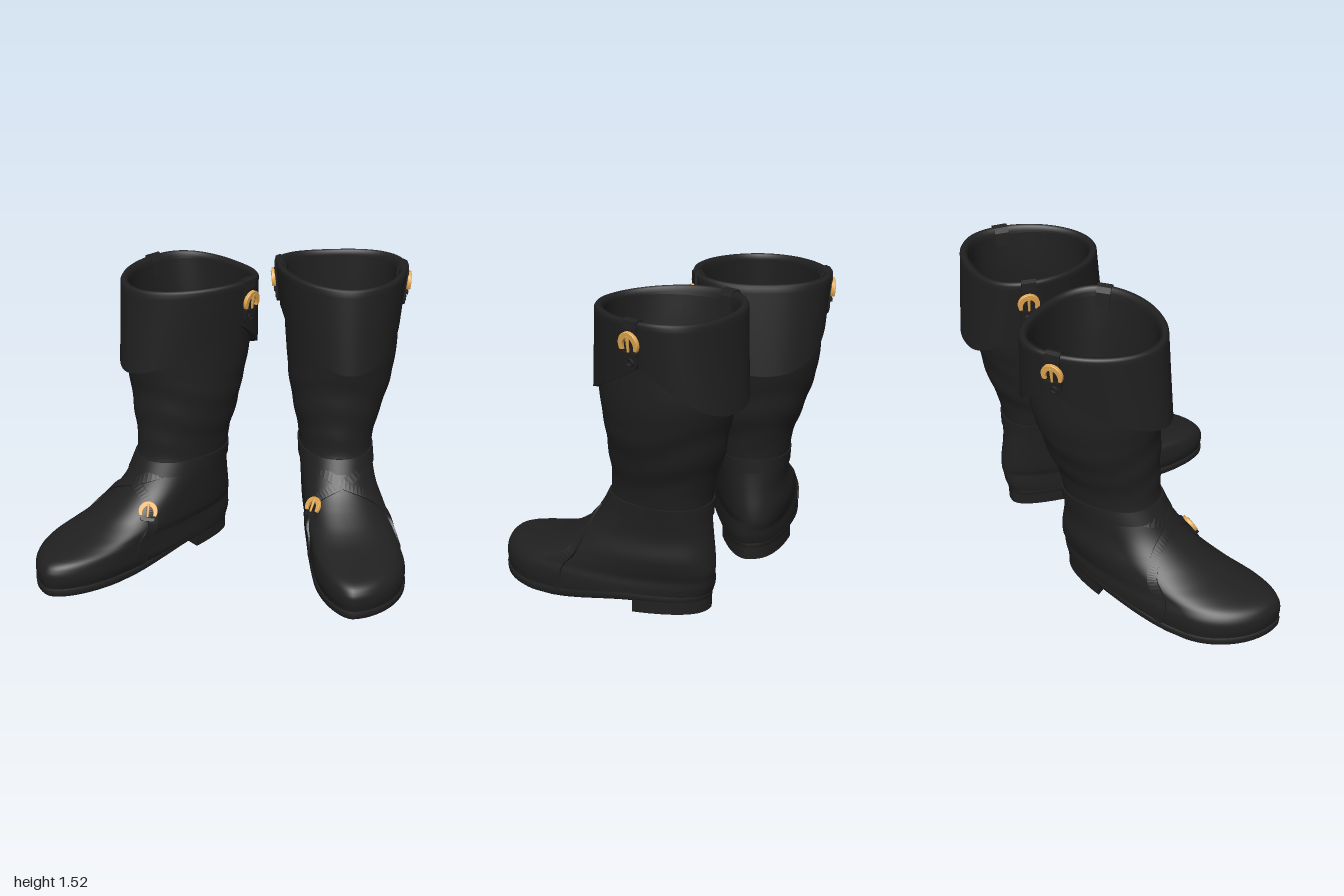
import * as THREE from 'three';

const V = (x, y, z) => new THREE.Vector3(x, y, z);
const leather = new THREE.MeshStandardMaterial({ color: 0x202020, side: THREE.DoubleSide });
leather.name = 'blackLeather';
const brass = new THREE.MeshStandardMaterial({ color: 0xe2a852 });
brass.name = 'brass';

// Horizontal sections: y, xMin, xMax, zBack, zFront, zWidest, centre x, back and front roundness
const SECTIONS = [
  [0.05, 0.44, 0.895, -0.505, 0.67, 0.32, 0.585, 2.5, 1.85],
  [0.10, 0.425, 0.90, -0.515, 0.68, 0.32, 0.585, 2.5, 1.85],
  [0.15, 0.425, 0.895, -0.53, 0.672, 0.31, 0.585, 2.5, 1.85],
  [0.19, 0.425, 0.88, -0.535, 0.625, 0.26, 0.59, 2.4, 1.9],
  [0.22, 0.425, 0.87, -0.54, 0.49, 0.18, 0.60, 2.3, 2],
  [0.25, 0.42, 0.86, -0.54, 0.37, 0.10, 0.60, 2.3, 2.1],
  [0.30, 0.42, 0.845, -0.535, 0.26, 0.00, 0.60, 2.3, 2.1],
  [0.40, 0.42, 0.81, -0.52, 0.12, -0.10, 0.60, 2.3, 2.1],
  [0.50, 0.42, 0.80, -0.51, 0.04, -0.20, 0.61, 2.3, 2.1],
  [0.57, 0.42, 0.80, -0.51, 0.005, -0.25, 0.61, 2.3, 2.1],
  [0.68, 0.405, 0.82, -0.53, 0.00, -0.27, 0.61, 2.2, 2],
  [0.80, 0.38, 0.86, -0.57, 0.00, -0.29, 0.62, 2.2, 2],
  [0.95, 0.36, 0.905, -0.60, 0.005, -0.32, 0.63, 2.2, 2],
  [1.10, 0.35, 0.93, -0.63, 0.03, -0.35, 0.635, 2.3, 1.95],
  [1.30, 0.335, 0.935, -0.63, 0.03, -0.37, 0.635, 2.3, 1.95],
  [1.50, 0.31, 0.95, -0.63, 0.02, -0.38, 0.635, 2.3, 1.95],
];

// Egg-shaped section point at angle a, grown outwards by off
function egg([y, x0, x1, zb, zf, zw, cx, nb, nf], a, off = 0) {
  const c = Math.cos(a), s = Math.sin(a), n = s > 0 ? nf : nb;
  const pc = Math.abs(c) ** (2 / n), ps = Math.abs(s) ** (2 / n);
  const heelTaper = s < 0 ? 1 - 0.28 * THREE.MathUtils.clamp((zw + 0.2) / 0.5, 0, 1) * ps * ps : 1;
  const x = c > 0 ? cx + (x1 - cx + off) * pc * heelTaper : cx - (cx - x0 + off) * pc;
  const z = s > 0 ? zw + (zf - zw + off) * ps : zw - (zw - zb + off) * ps;
  return V(x, y, z);
}

// Upper surface at any height, blended smoothly between the sections
function upper(y, a, off = 0) {
  let i = 0;
  while (i < SECTIONS.length - 2 && SECTIONS[i + 1][0] < y) i++;
  const row = (k) => SECTIONS[THREE.MathUtils.clamp(k, 0, SECTIONS.length - 1)];
  const [r0, r1, r2, r3] = [row(i - 1), row(i), row(i + 1), row(i + 2)];
  const h = r2[0] - r1[0], t = (y - r1[0]) / h;
  const mixed = r1.map((p1, k) => {
    const p2 = r2[k];
    const m1 = ((p2 - r0[k]) * h) / (r2[0] - r0[0]), m2 = ((r3[k] - p1) * h) / (r3[0] - r1[0]);
    return p1 + t * m1 + t * t * (3 * (p2 - p1) - 2 * m1 - m2) + t * t * t * (2 * (p1 - p2) + m1 + m2);
  });
  mixed[0] = y;
  return egg(mixed, a, off);
}

// Flaring turned-down cuff surface
function cuffPoint(y, a, off = 0) {
  const t = (1.5 - y) / 0.45;
  return egg([y, 0.295 + 0.05 * t, 0.972 - 0.045 * t, -0.65 - 0.04 * t, 0.04 + 0.04 * t, -0.38, 0.635, 2.4, 1.9], a, off);
}

// Surface closed around u, open along v
function grid(nu, nv, f) {
  const pos = [], idx = [];
  for (let j = 0; j <= nv; j++)
    for (let i = 0; i < nu; i++) pos.push(...f(j, (i / nu) * Math.PI * 2, i).toArray());
  for (let j = 0; j < nv; j++)
    for (let i = 0; i < nu; i++) {
      const a = j * nu + i, b = j * nu + ((i + 1) % nu);
      idx.push(a, a + nu, b, b, a + nu, b + nu);
    }
  const g = new THREE.BufferGeometry();
  g.setAttribute('position', new THREE.Float32BufferAttribute(pos, 3));
  g.setIndex(idx);
  g.computeVertexNormals();
  return g;
}

// Flat strap of half width w and half thickness t along points
function ribbon(pts, sideAt, w, t) {
  const frames = pts.map((p, i) => {
    const T = pts[Math.min(i + 1, pts.length - 1)].clone().sub(pts[Math.max(i - 1, 0)]).normalize();
    const side = sideAt(i, T).normalize();
    return { p, side, n: T.cross(side).normalize() };
  });
  const corners = [[-w, t], [w, t], [w, -t], [-w, -t]];
  const g = grid(4, pts.length - 1, (j, a, i) =>
    frames[j].p.clone().addScaledVector(frames[j].side, corners[i][0]).addScaledVector(frames[j].n, corners[i][1])).toNonIndexed();
  g.computeVertexNormals();
  return g;
}

function normalOf(f, y, a) {
  const du = f(y, a + 0.02).sub(f(y, a - 0.02)), dv = f(y + 0.01, a).sub(f(y - 0.01, a));
  return dv.cross(du).normalize();
}

// Matrix standing on a surface point, facing along n
function facing(p, n, up) {
  const x = up.clone().cross(n).normalize();
  return new THREE.Matrix4().makeBasis(x, n.clone().cross(x), n).setPosition(p);
}

const soleBottom = (z) => 0.01 + 0.065 * THREE.MathUtils.smoothstep(-z, -0.3, 0.25);

function makeBoot(name, mirrored) {
  const boot = new THREE.Group();
  boot.name = name;
  const add = (part, geo, mat, matrix) => {
    let g = geo;
    if (matrix) g.applyMatrix4(matrix);
    if (mirrored) {
      // reflect across x and reverse the corner order
      g = (g.index ? g.toNonIndexed() : g).scale(-1, 1, 1);
      for (const attr of Object.values(g.attributes)) {
        const k = attr.itemSize, d = attr.array;
        for (let i = 0; i < d.length; i += 3 * k)
          for (let c = 0; c < k; c++) [d[i + k + c], d[i + 2 * k + c]] = [d[i + 2 * k + c], d[i + k + c]];
      }
    }
    const m = new THREE.Mesh(g, mat);
    m.name = part;
    boot.add(m);
  };

  // foot and shaft, with faint creases in the leg
  add('footAndShaft', grid(80, 90, (j, a) => {
    const y = j < 40 ? 0.05 + j * 0.0075 : 0.35 + (j - 40) * 0.02;
    const window = THREE.MathUtils.smoothstep(y, 0.6, 0.72) * (1 - THREE.MathUtils.smoothstep(y, 0.95, 1.05));
    const p = upper(y, a, 0.0025 * window * Math.sin(y * 34 + 2.2 * Math.sin(a * 2 + 1)));
    p.y = Math.max(y, soleBottom(p.z) + 0.035);
    return p;
  }), leather);

  // lining and insole
  add('lining', grid(64, 41, (j, a) => j > 40 ? V(0.61, 0.14, -0.2) : upper(1.48 - j * 0.0335, a, -0.03)), leather);

  // cuff: pointed front and back hem, rolled rim
  const hem = (a) => 1.3 - 0.235 * Math.abs(Math.sin(a));
  const rim = (a) => (Math.cos(a) < 0 ? 0.02 : 0.008) * Math.cos(a) ** 2;
  const rolled = [[1.49, 0], [1.5, -0.006], [1.505, -0.018], [1.5, -0.032], [1.48, -0.042], [1.4, -0.045]];
  add('cuff', grid(96, 21, (j, a) => {
    if (j === 0) return cuffPoint(hem(a), a, -0.04);
    if (j < 3) return cuffPoint(hem(a), a);
    if (j < 16) return cuffPoint(THREE.MathUtils.lerp(hem(a), 1.48 + rim(a), (j - 2) / 13.5), a);
    const [y, off] = rolled[j - 16];
    return cuffPoint(y + rim(a), a, off);
  }), leather);

  // sole with raised arch
  const soleRows = [[-0.6, 0], [-0.005, 0], [-0.005, 0], [0.006, 0.01], [0.008, 0.036], [0, 0.044], [-0.02, 0.046]];
  add('sole', grid(80, 6, (j, a) => {
    const [off, h] = soleRows[j];
    const p = j ? upper(0.06, a, off) : V(0.62, 0, 0.1);
    p.y = soleBottom(p.z) + h;
    return p;
  }), leather);

  // heel block
  const outline = [];
  for (let i = 0; i <= 80; i++) {
    const p = upper(0.06, Math.PI + (i / 80) * Math.PI, 0.003);
    if (p.z < -0.21) outline.push(new THREE.Vector2(p.x, -p.z));
  }
  add('heel', new THREE.ExtrudeGeometry(new THREE.Shape(outline), { depth: 0.1, bevelEnabled: false })
    .rotateX(-Math.PI / 2).translate(0, 0.018, 0), leather);

  // ankle strap
  const band = [[0.497, -0.005], [0.497, 0.008], [0.497, 0.008], [0.568, 0.008], [0.568, 0.008], [0.568, -0.005]];
  add('ankleStrap', grid(80, 5, (j, a) => upper(band[j][0], a, band[j][1])), leather);

  // straps crossing over the instep
  const route = new THREE.CatmullRomCurve3([V(-0.13, 0.07, 0), V(-0.06, 0.2, 0), V(0.35, 0.3, 0),
    V(0.8, 0.38, 0), V(1.57, 0.455, 0), V(2.4, 0.53, 0)]);
  const path = route.getPoints(40);
  for (const inner of [false, true]) {
    const ang = (q) => (inner ? Math.PI - q.x : q.x);
    const line = new THREE.CatmullRomCurve3(route.getPoints(10).map((q) => upper(q.y, ang(q), 0.002)));
    add('instepStrap', ribbon(line.getPoints(40),
      (i, T) => normalOf(upper, path[i].y, ang(path[i])).cross(T), 0.025, 0.007), leather);
  }

  // horseshoe buckle with prong
  const addBuckle = (matrix, size) => {
    const s = new THREE.Shape();
    s.absellipse(0, 0, 0.053, 0.055, -0.5, Math.PI + 0.5, false);
    s.absellipse(0, -0.014, 0.034, 0.044, Math.PI + 0.25, -0.25, true);
    const m = matrix.clone().scale(V(size, size, size));
    add('buckleFrame', new THREE.ExtrudeGeometry(s, { depth: 0.014, bevelEnabled: true, bevelSize: 0.002,
      bevelThickness: 0.003, bevelSegments: 1, curveSegments: 20 }), brass, m);
    add('buckleProng', new THREE.CylinderGeometry(0.009, 0.006, 0.075, 8).translate(0, 0.003, 0.014), brass, m);
    add('strapKeeper', new THREE.BoxGeometry(0.08, 0.018, 0.022).translate(0, -0.048, 0), leather, m);
  };
  const fa = Math.PI - 0.68, fn = normalOf(upper, 0.345, fa);
  addBuckle(facing(upper(0.345, fa).addScaledVector(fn, 0.008), fn, V(-0.25, 1, 0)), 0.9);

  // pull straps over the rim, each with a buckle
  for (const a of [0.08, Math.PI + 0.2]) {
    const out = normalOf(cuffPoint, 1.4, a), lift = rim(a);
    const stops = [[1.42, -0.05], [1.48 + lift, -0.047], [1.503 + lift, -0.036], [1.509 + lift, -0.018],
      [1.503 + lift, -0.002], [1.48, 0.004], [1.4, 0.006], [1.32, 0.008]];
    add('pullStrap', ribbon(stops.map(([y, o]) => cuffPoint(y, a, o)),
      () => V(out.x, 0, out.z).cross(V(0, -1, 0)), 0.037, 0.006), leather);
    const tip = facing(cuffPoint(1.325, a, 0.008), out, V(0, 1, 0));
    add('strapTip', new THREE.CylinderGeometry(0.037, 0.037, 0.012, 24).rotateX(Math.PI / 2), leather, tip);
    add('strapStud', new THREE.TorusGeometry(0.016, 0.005, 6, 16).translate(0, 0, 0.007), leather, tip);
    addBuckle(facing(cuffPoint(1.412, a, 0.011), out, V(0, 1, 0)), 1);
  }
  return boot;
}

export function createModel() {
  const model = new THREE.Group();
  model.name = 'pairOfBoots';
  model.add(makeBoot('leftBoot', false));

  // the right boot is a mirrored copy, turned outwards about its shaft
  const right = makeBoot('rightBoot', true);
  right.position.set(0.635, 0, 0.385);
  const pivot = new THREE.Group();
  pivot.name = 'rightBootTurn';
  pivot.add(right);
  pivot.rotation.y = THREE.MathUtils.degToRad(-53.8);
  pivot.position.set(-0.12, 0, -0.345);
  model.add(pivot);
  return model;
}
